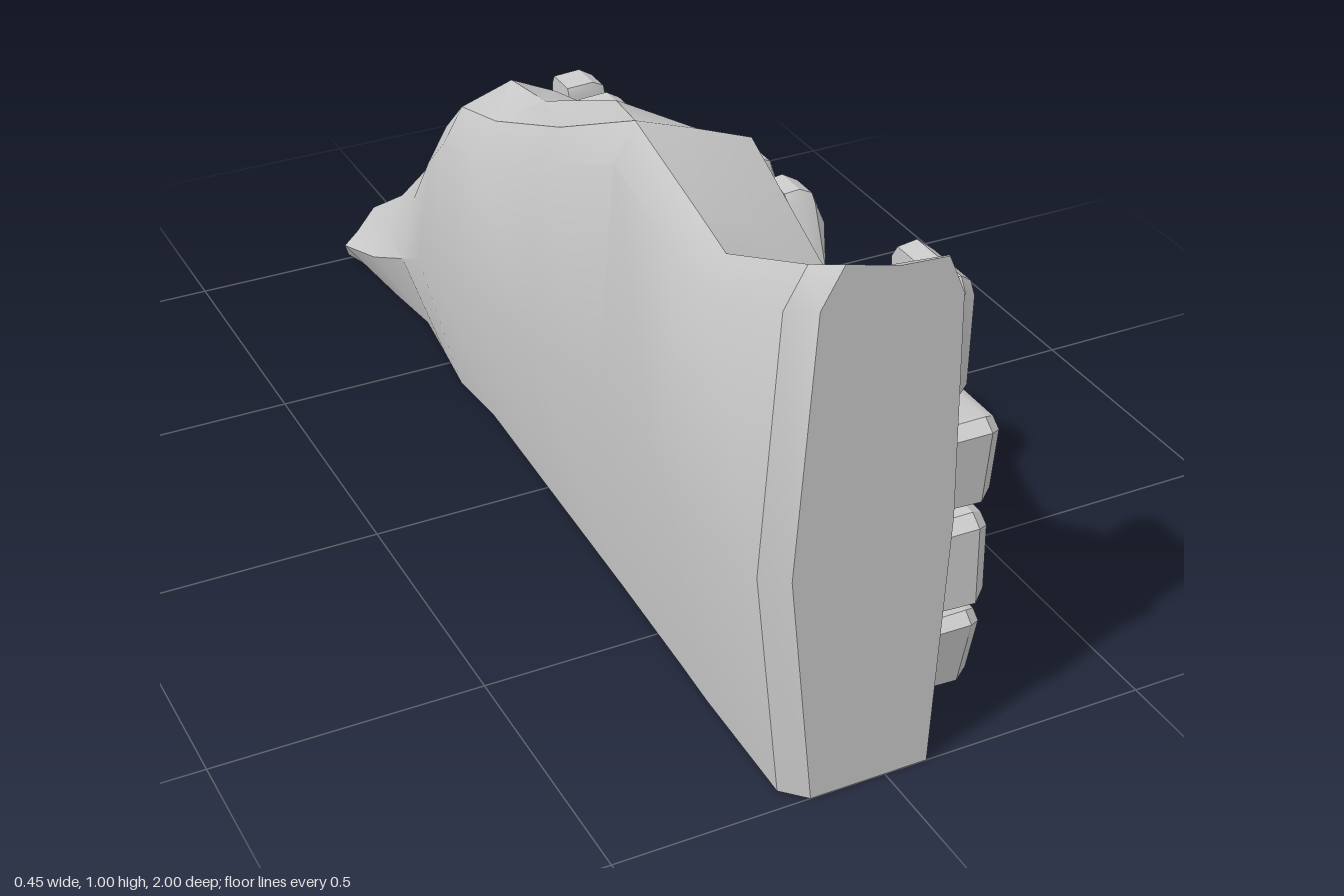
import * as THREE from 'three';
import { toCreasedNormals } from 'three/addons/utils/BufferGeometryUtils.js';

const material = new THREE.MeshStandardMaterial({ color: 0xcccccc });

// Skin a list of equal-length rings; both ends close with a fan to a centre point.
function loft(rings, startCentre, crease) {
  const n = rings[0].length;
  const centre = (r) => [0, 1, 2].map((k) => r.reduce((s, p) => s + p[k], 0) / n);
  const last = rings[rings.length - 1];
  const pos = [...rings.flat(), startCentre || centre(rings[0]), centre(last)].flat();
  const c0 = rings.length * n, base = c0 - n, idx = [];
  for (let j = 0; j < n; j++) {
    const k = (j + 1) % n;
    for (let i = 0; i < rings.length - 1; i++) {
      const a = i * n + j, b = i * n + k;
      idx.push(a, a + n, b, b, a + n, b + n);
    }
    idx.push(c0, j, k, c0 + 1, base + k, base + j);
  }
  const g = new THREE.BufferGeometry();
  g.setAttribute('position', new THREE.Float32BufferAttribute(pos, 3));
  g.setIndex(idx);
  return toCreasedNormals(g, crease);
}

// Wall cross-section: left and right extents, heights of left edge, middle and right edge.
function section([z, l, r, yl, ym, yr]) {
  const cl = Math.min(0.07, yl * 0.35), cr = Math.min(0.07, yr * 0.35);
  return [
    [r - 0.02, 0, z], [r, yr * 0.5, z], [r - 0.01, yr - cr, z], [r - 0.04, yr, z],
    [(l + r) / 2 + 0.02, ym, z],
    [l + 0.07, yl, z], [l + 0.03, yl - cl, z], [l, yl * 0.45, z], [l + 0.05, 0, z],
  ];
}

// z, left x, right x, left height, middle height, right height
const wallSections = [
  [1, -0.19, 0.1, 0.995, 0.97, 0.965],
  [0.96, -0.23, 0.125, 0.985, 0.95, 0.94],
  [0.7, -0.225, 0.115, 0.87, 0.79, 0.72],
  [0.6, -0.22, 0.115, 0.89, 0.82, 0.75],
  [0.35, -0.21, 0.12, 0.94, 0.9, 0.86],
  [0.03, -0.2, 0.12, 0.78, 0.81, 0.7],
  [-0.28, -0.19, 0.115, 0.65, 0.67, 0.64],
  [-0.42, -0.2, 0.11, 0.62, 0.655, 0.61],
  [-0.54, -0.185, 0.11, 0.52, 0.57, 0.5],
  [-0.67, -0.17, 0.12, 0.37, 0.41, 0.35],
  [-0.8, -0.185, 0.15, 0.24, 0.26, 0.18],
  [-0.95, -0.195, 0.16, 0.14, 0.15, 0.12],
  [-1, -0.17, 0.11, 0.02, 0.02, 0.02],
];

// One course of stones: each is [centre z, top width, bottom width, lean of the top in z]
const course = (bottom, top, lift, stones) => ({ bottom, top, lift, stones });
const courses = [
  course(0.075, 0.245, 0.01, [
    [0.855, 0.24, 0.16], [0.67, 0.14, 0.13], [0.52, 0.06, 0.07, 0.055], [0.36, 0.235, 0.19],
    [0.125, 0.175, 0.24], [-0.125, 0.25, 0.185], [-0.305, 0.08, 0.11], [-0.65, 0.155, 0.24],
  ]),
  course(0.265, 0.445, 0.005, [
    [0.865, 0.23, 0.24], [0.62, 0.25, 0.24], [0.37, 0.145, 0.245], [0.2, 0.11, 0.06, 0.035],
    [0.06, 0.12, 0.08, -0.035], [-0.15, 0.23, 0.25], [-0.395, 0.245, 0.23, -0.03],
  ]),
  course(0.455, 0.63, 0.01, [
    [0.865, 0.25, 0.21], [0.68, 0.09, 0.125], [0.54, 0.06, 0.09], [0.37, 0.25, 0.22],
    [0.12, 0.22, 0.25], [-0.12, 0.24, 0.185], [-0.305, 0.08, 0.11], [-0.42, 0.08, 0.08],
  ]),
  course(0.65, 0.81, -0.02, [[0.46, 0.075, 0.115, -0.045], [0.315, 0.06, 0.08]]),
  course(0.65, 0.89, -0.03, [[0.885, 0.16, 0.15]]),
];

// Pillow-shaped stone: corner-cut outline, straight sides, bevel and a raised middle.
function stoneGeometry([cz, wTop, wBottom, lean = 0], { bottom, top, lift }) {
  const corners = [
    [cz + (lean + wTop) / 2, top], [cz + (wBottom - lean) / 2, bottom],
    [cz - (wBottom + lean) / 2, bottom], [cz + (lean - wTop) / 2, top],
  ];
  const outline = corners.flatMap((p, i) => [corners[(i + 3) % 4], corners[(i + 1) % 4]]
    .map((q) => [p[0] + (q[0] - p[0]) * 0.1, p[1] + (q[1] - p[1]) * 0.1]));
  const cy = (top + bottom) / 2;
  const ring = (x, s) => outline.map(([z, y]) => [x, cy + (y - cy) * s, cz + (z - cz) * s]);
  const peak = 0.155 + 0.06 * Math.min(1, (wTop + wBottom) / 0.4) + lift;
  return loft([ring(peak - 0.03, 0.84), ring(peak - 0.055, 1), ring(0.08, 0.97)],
    [peak, cy, cz], 0.55);
}

export function createModel() {
  const model = new THREE.Group();
  model.name = 'brokenWall';

  const wall = new THREE.Mesh(loft(wallSections.map(section), null, 0.5), material);
  wall.name = 'wallBody';
  model.add(wall);

  courses.forEach((row, r) => {
    const group = new THREE.Group();
    group.name = `stoneCourse${r + 1}`;
    row.stones.forEach((s, i) => {
      const stone = new THREE.Mesh(stoneGeometry(s, row), material);
      stone.name = `stone${i + 1}`;
      group.add(stone);
    });
    model.add(group);
  });
  return model;
}
